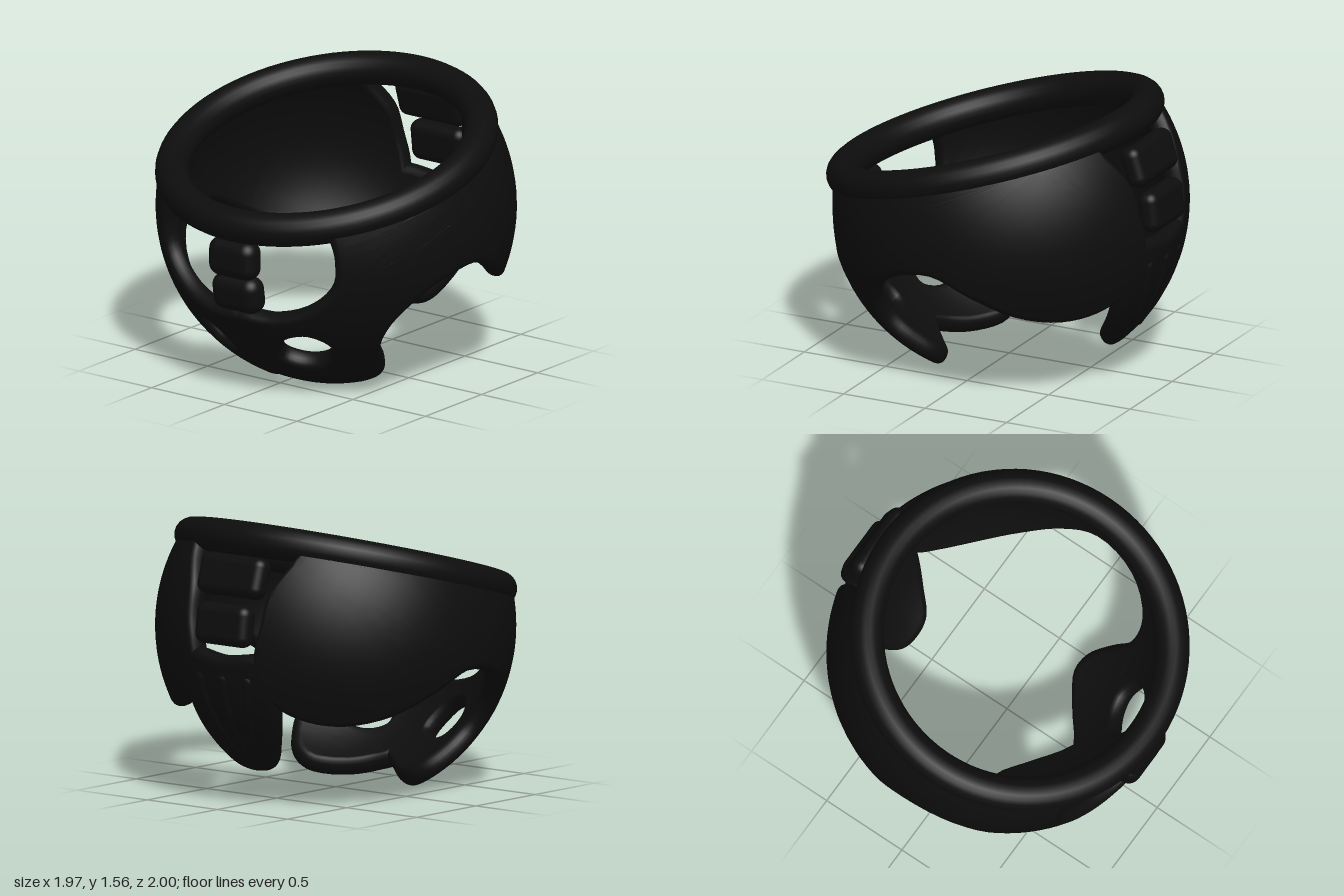
import * as THREE from 'three';
import { mergeVertices } from 'three/addons/utils/BufferGeometryUtils.js';
import { RoundedBoxGeometry } from 'three/addons/geometries/RoundedBoxGeometry.js';

const CENTRE_Y = 0.92; // centre of the sphere the bony plates lie on
const RADIUS = 0.93; // radius of the middle of the plates
const HALF = 0.055; // half the plate thickness

// Split every edge longer than limit until the triangles can be bent smoothly
function subdivide(triangles, limit) {
  let done = false;
  while (!done) {
    done = true;
    const next = [];
    for (const t of triangles) {
      const lengths = t.map((p, i) => p.distanceTo(t[(i + 1) % 3]));
      const split = lengths.map((l) => l > limit);
      const count = split.filter(Boolean).length;
      if (count === 0) { next.push(t); continue; }
      done = false;
      const mid = t.map((p, i) => p.clone().add(t[(i + 1) % 3]).multiplyScalar(0.5));
      if (count === 3) {
        next.push([t[0], mid[0], mid[2]], [mid[0], t[1], mid[1]], [mid[2], mid[1], t[2]], mid);
        continue;
      }
      // turn the triangle so that its first edge is split and, for two, so is the second
      const k = count === 1 ? split.indexOf(true) : (split.indexOf(false) + 1) % 3;
      const [a, b, c] = [t[k], t[(k + 1) % 3], t[(k + 2) % 3]];
      const m = mid[k], n = mid[(k + 1) % 3];
      if (count === 1) next.push([a, m, c], [m, b, c]);
      else next.push([m, b, n], [a, m, n], [a, n, c]);
    }
    triangles = next;
  }
  return triangles;
}

// A curved plate with rounded edges: outline and holes are given as points near the sphere
function plateGeometry(facing, outline, holes = []) {
  const c = new THREE.Vector3(...facing).normalize();
  const u = new THREE.Vector3(0, 1, 0).cross(c).normalize();
  const v = c.clone().cross(u);
  const flatten = ([x, y, z]) => {
    const d = new THREE.Vector3(x, y - CENTRE_Y, z).normalize();
    const k = 2 / (1 + d.dot(c));
    return new THREE.Vector3(d.dot(u) * k, d.dot(v) * k, 0);
  };
  const loop = (points, n) => new THREE.CatmullRomCurve3(points.map(flatten), true)
    .getPoints(n).slice(0, -1).map((p) => new THREE.Vector2(p.x, p.y));

  const shape = new THREE.Shape(loop(outline, 130));
  holes.forEach((h) => shape.holes.push(new THREE.Path(loop(h, 32))));
  const flat = new THREE.ExtrudeGeometry(shape, {
    depth: 0.01, bevelThickness: HALF - 0.005, bevelSize: 0.05, bevelOffset: -0.05, bevelSegments: 4,
  });
  const source = flat.index ? flat.toNonIndexed() : flat;
  const pos = source.attributes.position;
  const triangles = [];
  for (let i = 0; i < pos.count; i += 3) {
    triangles.push([0, 1, 2].map((k) => new THREE.Vector3().fromBufferAttribute(pos, i + k)));
  }
  // bend the flat plate onto the sphere
  const bent = subdivide(triangles, 0.11).flat().map((p) => {
    const r2 = p.x * p.x + p.y * p.y;
    return c.clone().multiplyScalar(4 - r2)
      .addScaledVector(u, 4 * p.x).addScaledVector(v, 4 * p.y)
      .multiplyScalar((RADIUS + p.z - 0.005) / (4 + r2))
      .add(new THREE.Vector3(0, CENTRE_Y, 0));
  });
  const geometry = mergeVertices(new THREE.BufferGeometry().setFromPoints(bent), 1e-5);
  geometry.computeVertexNormals();
  return geometry;
}

export function createModel() {
  const group = new THREE.Group();
  const material = new THREE.MeshStandardMaterial({ color: 0x0d0d0d });
  const add = (name, geometry, position = [0, 0, 0], tilt = 0) => {
    const mesh = new THREE.Mesh(geometry, material);
    mesh.name = name;
    mesh.position.set(...position);
    mesh.rotation.x = tilt;
    group.add(mesh);
    return mesh;
  };

  // Tilted waist ring, lower at the front
  add('waistRing', new THREE.TorusGeometry(0.855, 0.093, 20, 96), [0, 1.26, 0.085], -Math.PI / 2 + 0.272);

  // Hip bones: wing at the side, arm to the front and lower loop with an opening
  const hipOutline = [
    [-0.04, 0.52, 0.84], [0.2, 0.53, 0.82], [0.4, 0.6, 0.77], [0.54, 0.74, 0.73], [0.56, 0.9, 0.74],
    [0.53, 1.08, 0.75], [0.8, 1.15, 0.4], [0.85, 1.26, 0.05], [0.78, 1.36, -0.35], [0.58, 1.45, -0.58],
    [0.37, 1.47, -0.66], [0.32, 1.37, -0.75], [0.25, 1.22, -0.85], [0.23, 1.05, -0.9], [0.2, 0.92, -0.9],
    [0.19, 0.8, -0.9], [0.28, 0.62, -0.84], [0.4, 0.54, -0.75], [0.55, 0.51, -0.62], [0.72, 0.56, -0.42],
    [0.84, 0.68, -0.2], [0.91, 0.77, 0], [0.86, 0.7, 0.27], [0.73, 0.52, 0.43], [0.63, 0.36, 0.42],
    [0.6, 0.22, 0.33], [0.5, 0.12, 0.22], [0.38, 0.07, 0.2], [0.2, 0.05, 0.31], [0.06, 0.08, 0.42],
    [-0.04, 0.13, 0.5],
  ];
  const hipOpening = [
    [0.15, 0.27, 0.65], [0.24, 0.23, 0.58], [0.36, 0.26, 0.55],
    [0.43, 0.36, 0.61], [0.35, 0.43, 0.71], [0.22, 0.39, 0.73],
  ];
  for (const [name, s] of [['leftHipBone', 1], ['rightHipBone', -1]]) {
    const mirror = (points) => points.map(([x, y, z]) => [s * x, y, z]);
    add(name, plateGeometry([s * 0.85, -0.2, 0.05], mirror(hipOutline), [mirror(hipOpening)]));
  }

  // Tail plate between the wings, tapering downward
  const tailSide = [[0.26, 0.88, -0.89], [0.31, 0.72, -0.86], [0.29, 0.55, -0.8], [0.22, 0.38, -0.72], [0.12, 0.25, -0.63]];
  const tailOutline = [
    [0, 0.87, -0.93], ...tailSide, [0, 0.22, -0.61],
    ...tailSide.map(([x, y, z]) => [-x, y, z]).reverse(),
  ];
  add('tailPlate', plateGeometry([0, -0.4, -0.9], tailOutline));

  // Ridges fanning up the tail plate
  for (const s of [-1, 0, 1]) {
    const points = [[0.16, 0.74], [0.14, 0.6], [0.1, 0.46], [0.06, 0.34]].map(([x, y]) => {
      const dy = y - CENTRE_Y, r = 0.945;
      return new THREE.Vector3(s * x, y, -Math.sqrt(r * r - dy * dy - x * x * s * s));
    });
    add('tailRidge', new THREE.TubeGeometry(new THREE.CatmullRomCurve3(points), 24, 0.05, 12));
    for (const end of [points[0], points[3]]) {
      add('tailRidgeEnd', new THREE.SphereGeometry(0.05, 12, 10), end.toArray());
    }
  }

  // Rounded blocks in the front and back gaps
  const block = (name, w, h, d, r, y, z, tilt) =>
    add(name, new RoundedBoxGeometry(w, h, d, 6, r), [0, y, z], tilt);
  block('upperFrontBlock', 0.31, 0.22, 0.15, 0.07, 0.84, 0.905, 0);
  block('lowerFrontBlock', 0.31, 0.21, 0.15, 0.07, 0.635, 0.87, 0.15);
  block('upperBackBlock', 0.45, 0.23, 0.12, 0.055, 1.3, -0.86, 0.3);
  block('lowerBackBlock', 0.37, 0.23, 0.12, 0.055, 1.04, -0.935, 0.12);

  return group;
}
